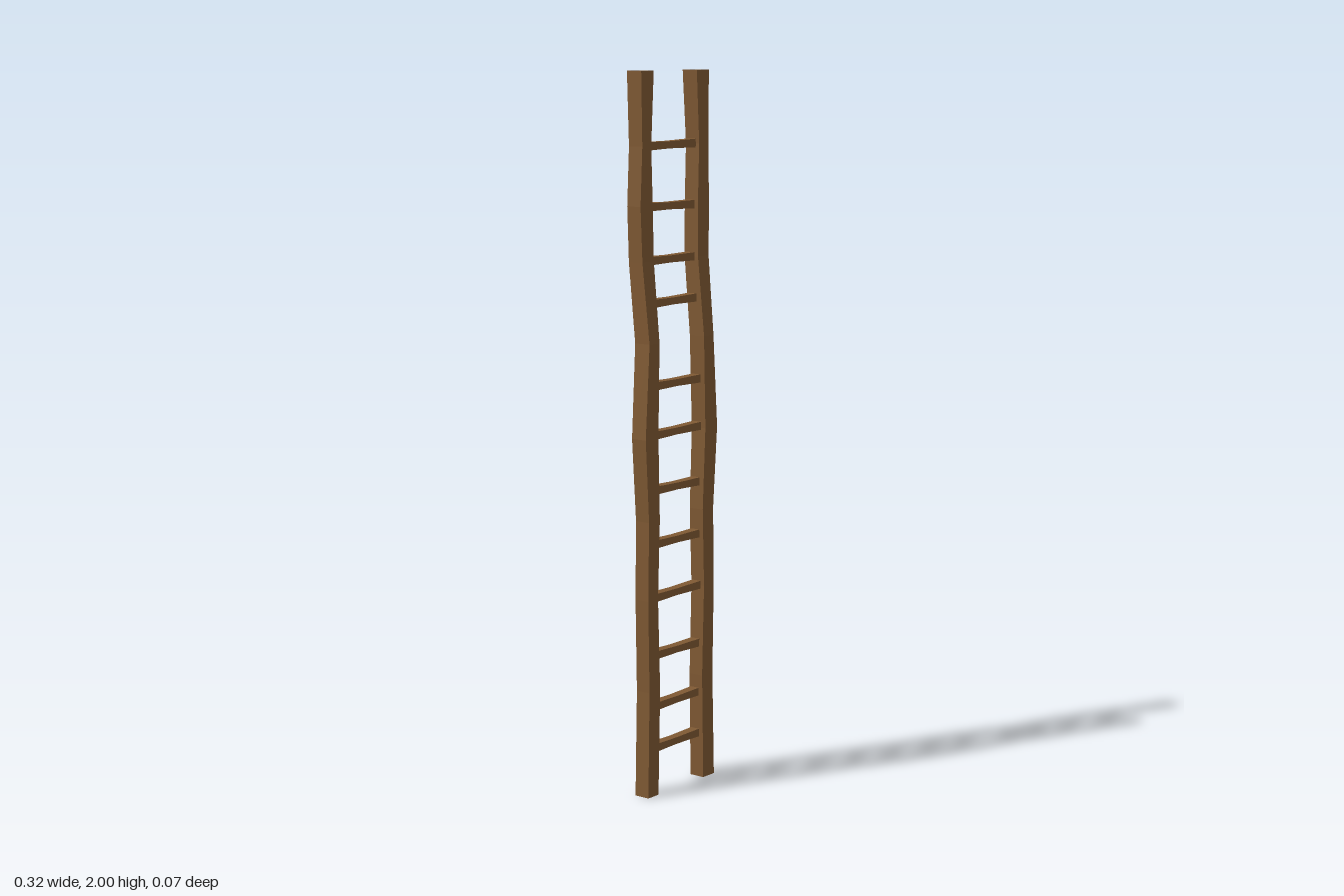
import * as THREE from 'three';

const wood = new THREE.MeshStandardMaterial({ color: 0x7f5933, side: THREE.DoubleSide });
wood.name = 'brown wood';

// Rail sections: [y, left inner x, left outer x, right inner x, right outer x, back z, front z]
const RAIL = [
  [0, 0.1, 0.15, 0.105, 0.15, -0.012, 0.034],
  [0.3, 0.095, 0.143, 0.096, 0.143, -0.012, 0.033],
  [0.56, 0.103, 0.148, 0.105, 0.148, -0.012, 0.033],
  [0.78, 0.095, 0.143, 0.098, 0.145, -0.012, 0.034],
  [1.01, 0.105, 0.159, 0.105, 0.16, -0.013, 0.035],
  [1.27, 0.098, 0.141, 0.1, 0.143, -0.015, 0.035],
  [1.49, 0.097, 0.145, 0.098, 0.147, -0.033, 0.014],
  [1.64, 0.099, 0.149, 0.1, 0.152, -0.034, 0.012],
  [1.8, 0.104, 0.145, 0.106, 0.144, -0.034, 0.012],
  [2, 0.093, 0.147, 0.095, 0.148, -0.037, 0.012],
];

// Rungs: [y, z, right end x, left end x, tilt]
const RUNGS = [
  [0.13, 0.006, -0.14, 0.14, 0], [0.25, 0.006, -0.135, 0.135, 0.01],
  [0.395, 0.006, -0.135, 0.135, -0.01], [0.56, 0.006, -0.14, 0.14, 0.01],
  [0.71, 0.006, -0.14, 0.142, 0], [0.86, 0.006, -0.135, 0.14, -0.01],
  [1.015, 0.006, -0.145, 0.142, 0.01], [1.15, 0.006, -0.135, 0.135, 0],
  [1.375, -0.006, -0.135, 0.13, 0.01], [1.49, -0.013, -0.14, 0.13, 0],
  [1.635, -0.014, -0.143, 0.125, -0.01], [1.8, -0.014, -0.14, 0.12, 0.01],
];

// Hollow four-sided rail, closed at the foot and open at the top
function railGeometry(side) {
  const rings = RAIL.map(([y, li, lo, ri, ro, z0, z1]) => {
    const [x0, x1] = side > 0 ? [li, lo] : [-ro, -ri];
    return [[x0, y, z1], [x1, y, z1], [x1, y, z0], [x0, y, z0]];
  });
  const pos = [];
  const quad = (a, b, c, d) => pos.push(...a, ...b, ...c, ...a, ...c, ...d);
  for (let i = 0; i < rings.length - 1; i++) {
    for (let k = 0; k < 4; k++) {
      const n = (k + 1) % 4;
      quad(rings[i][k], rings[i][n], rings[i + 1][n], rings[i + 1][k]);
    }
  }
  const foot = rings[0];
  quad(foot[3], foot[2], foot[1], foot[0]);
  const geo = new THREE.BufferGeometry();
  geo.setAttribute('position', new THREE.Float32BufferAttribute(pos, 3));
  geo.computeVertexNormals();
  return geo;
}

// Rung with slightly thicker ends and a narrower waist
function rungGeometry(length) {
  const geo = new THREE.BoxGeometry(length, 0.024, 0.029, 4, 1, 1);
  const p = geo.attributes.position;
  for (let i = 0; i < p.count; i++) {
    const t = Math.min(1, Math.abs(p.getX(i)) / (length / 2));
    const s = 0.8 + 0.2 * t;
    p.setY(i, p.getY(i) * s);
    p.setZ(i, p.getZ(i) * (0.9 + 0.1 * t));
  }
  const flat = geo.toNonIndexed();
  flat.computeVertexNormals();
  return flat;
}

export function createModel() {
  const ladder = new THREE.Group();
  ladder.name = 'ladder';

  for (const side of [1, -1]) {
    const rail = new THREE.Mesh(railGeometry(side), wood);
    rail.name = side > 0 ? 'leftRail' : 'rightRail';
    ladder.add(rail);
  }

  RUNGS.forEach(([y, z, x0, x1, tilt], i) => {
    const rung = new THREE.Mesh(rungGeometry(x1 - x0), wood);
    rung.name = `rung${i + 1}`;
    rung.position.set((x0 + x1) / 2, y, z);
    rung.rotation.z = tilt;
    ladder.add(rung);
  });

  return ladder;
}
